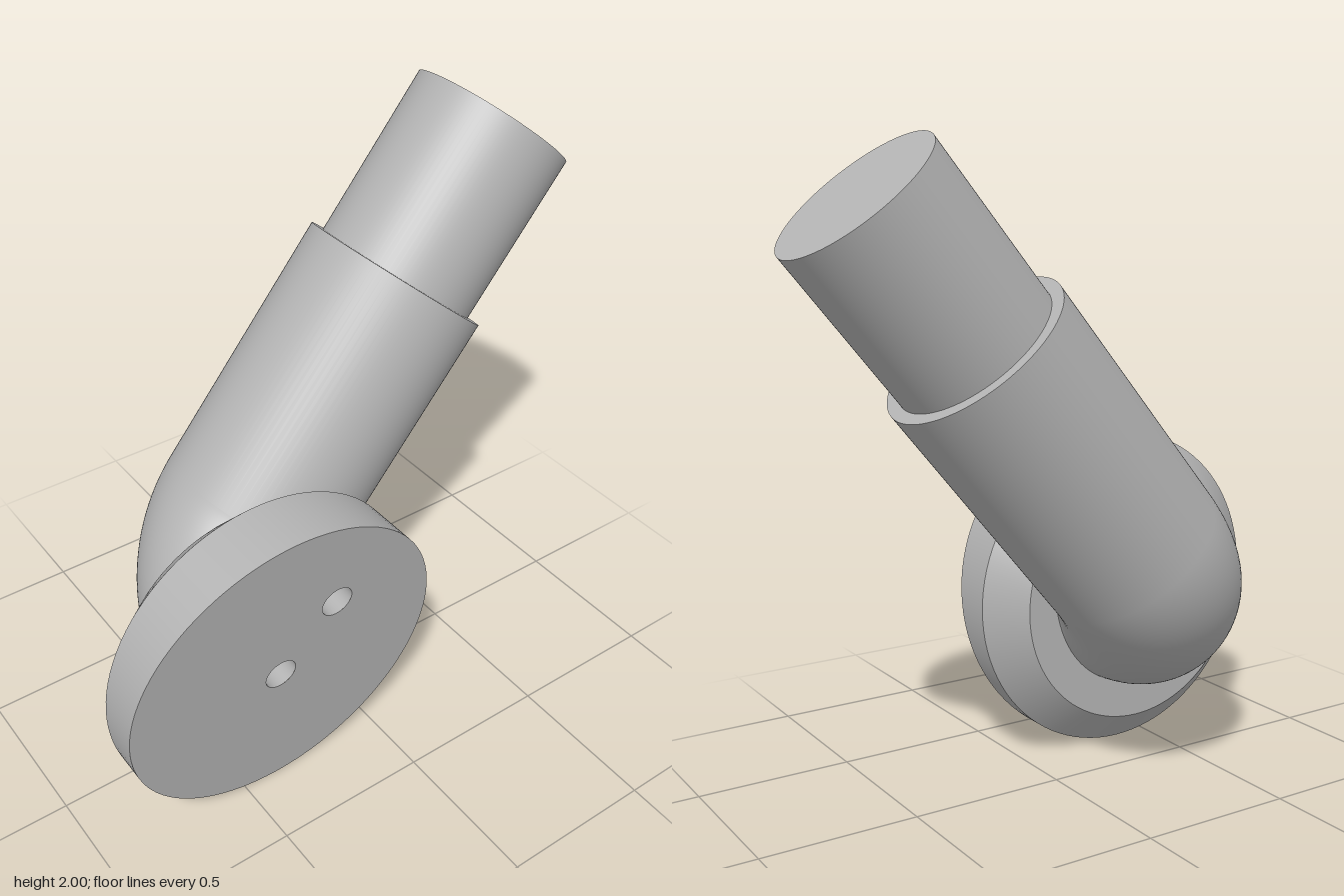
import * as THREE from 'three';

const SEG = 96;
const HUB = { y: 0.53, z: 0.385 };          // centre of the base plate
const PLATE_R = 0.53;
const PIPE_R = 0.3;
const HOLE_R = 0.053;
const HOLES = [{ y: 0.512, z: 0.402 }, { y: 0.727, z: 0.218 }];
const slope = 0.137;
const faceX = (y) => 0.27 + slope * y;      // the sloped mounting plane

// Apply a rule to every vertex
function reshape(geo, rule) {
  const p = geo.attributes.position;
  const v = new THREE.Vector3();
  for (let i = 0; i < p.count; i++) {
    rule(v.fromBufferAttribute(p, i));
    p.setXYZ(i, v.x, v.y, v.z);
  }
  return geo;
}

export function createModel() {
  const model = new THREE.Group();
  model.name = 'angledPipeMount';
  const grey = new THREE.MeshStandardMaterial({ color: 0xb4b4b4 });
  grey.name = 'plain grey';

  const add = (parent, name, geo) => {
    const mesh = new THREE.Mesh(geo, grey);
    mesh.name = name;
    parent.add(mesh);
    return mesh;
  };

  // ---- Base plate, axis along x ----
  const plate = new THREE.Group();
  plate.name = 'basePlate';
  model.add(plate);

  const back = new THREE.RingGeometry(0.26, 0.42, SEG).rotateY(-Math.PI / 2);
  add(plate, 'plateBack', back.translate(0.1, HUB.y, HUB.z));

  const chamfer = new THREE.CylinderGeometry(PLATE_R, 0.42, 0.11, SEG, 1, true).rotateZ(-Math.PI / 2);
  add(plate, 'plateChamfer', chamfer.translate(0.155, HUB.y, HUB.z));

  // Rim whose outer edge follows the sloped plane
  const rim = new THREE.CylinderGeometry(PLATE_R, PLATE_R, 1, SEG, 1, true)
    .rotateZ(-Math.PI / 2).translate(0, HUB.y, HUB.z);
  add(plate, 'plateRim', reshape(rim, (v) => { v.x = v.x > 0 ? faceX(v.y) : 0.21; }));

  // Sloped face with two screw holes
  const outline = new THREE.Shape().absarc(-HUB.z, HUB.y, PLATE_R, 0, Math.PI * 2, false);
  for (const h of HOLES) {
    outline.holes.push(new THREE.Path().absarc(-h.z, h.y, HOLE_R, 0, Math.PI * 2, true));
  }
  const face = new THREE.ShapeGeometry(outline, SEG / 2).rotateY(Math.PI / 2);
  reshape(face, (v) => { v.x = faceX(v.y); });
  face.computeVertexNormals();
  add(plate, 'plateFace', face);

  // Blind holes bored square to the sloped face
  const depth = 0.32;
  for (const h of HOLES) {
    const bore = (v) => {
      const t = 1 - v.x;                    // 0 at the mouth, 1 at the floor
      v.x = faceX(v.y) - t * depth;
      v.y += t * depth * slope;
    };
    const wall = new THREE.LatheGeometry(
      [new THREE.Vector2(HOLE_R, 1), new THREE.Vector2(HOLE_R, 0)], 48)
      .rotateZ(-Math.PI / 2).translate(0, h.y, h.z);
    add(plate, 'holeWall', reshape(wall, bore));
    const floor = new THREE.CircleGeometry(HOLE_R, 48).rotateY(Math.PI / 2).translate(0, h.y, h.z);
    reshape(floor, bore);
    floor.computeVertexNormals();
    add(plate, 'holeFloor', floor);
  }

  // ---- Arm: local y runs along the tilted pipe ----
  const arm = new THREE.Group();
  arm.name = 'arm';
  arm.position.set(0, HUB.y, HUB.z);
  arm.rotation.x = THREE.MathUtils.degToRad(-40);
  model.add(arm);

  const pipeX = -0.12;
  const elbow = new THREE.TorusGeometry(PIPE_R, PIPE_R, SEG, 48, Math.PI / 2).rotateZ(Math.PI);
  add(arm, 'elbow', elbow.translate(pipeX + PIPE_R, PIPE_R, 0));

  const pipe = (name, r, y0, y1) => add(arm, name,
    new THREE.CylinderGeometry(r, r, y1 - y0, SEG).translate(pipeX, (y0 + y1) / 2, 0));
  pipe('sleeve', PIPE_R, 0.3, 1.15);
  pipe('spigot', 0.26, 1.1, 1.7);

  return model;
}
